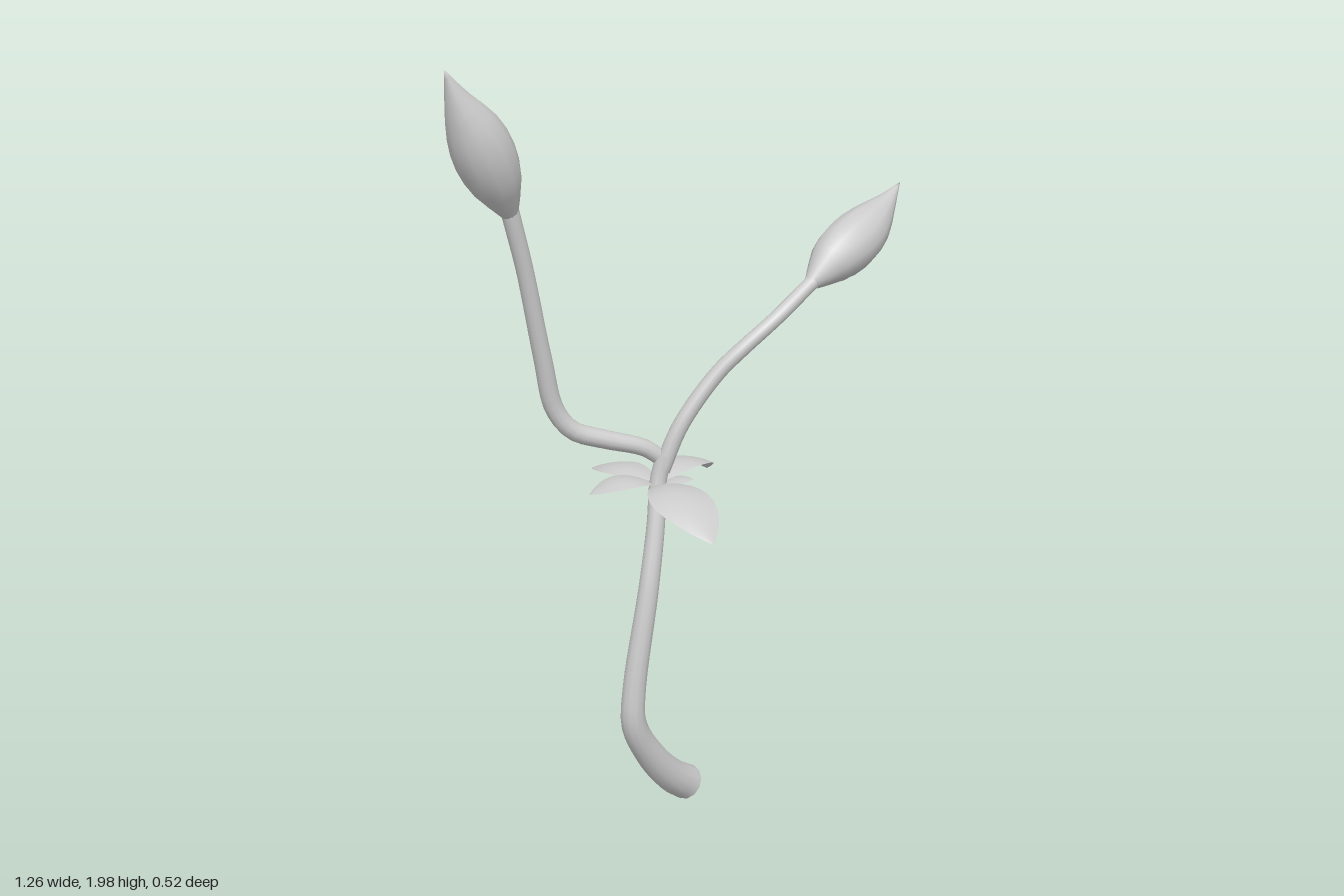
import * as THREE from 'three';
import { mergeVertices } from 'three/addons/utils/BufferGeometryUtils.js';

const material = new THREE.MeshStandardMaterial({ color: 0xcccccc });
const leafMaterial = new THREE.MeshStandardMaterial({ color: 0xcccccc, side: THREE.DoubleSide });

const curveOf = (points) => new THREE.CatmullRomCurve3(points.map((p) => new THREE.Vector3(...p)));

// Tube along a curve whose radius follows evenly spaced values
function sweep(name, curve, radii, segments = 28) {
  const sides = 12;
  const geo = new THREE.TubeGeometry(curve, segments, 1, sides);
  const pos = geo.attributes.position;
  const v = new THREE.Vector3();
  for (let i = 0; i <= segments; i++) {
    const center = curve.getPointAt(i / segments);
    const t = (i / segments) * (radii.length - 1);
    const k = Math.min(Math.floor(t), radii.length - 2);
    const r = THREE.MathUtils.lerp(radii[k], radii[k + 1], t - k);
    for (let j = 0; j <= sides; j++) {
      const n = i * (sides + 1) + j;
      v.fromBufferAttribute(pos, n).sub(center).multiplyScalar(r).add(center);
      pos.setXYZ(n, v.x, v.y, v.z);
    }
  }
  geo.deleteAttribute('uv');
  geo.deleteAttribute('normal');
  const welded = mergeVertices(geo, 1e-5);
  welded.computeVertexNormals();
  const mesh = new THREE.Mesh(welded, material);
  mesh.name = name;
  return mesh;
}

// Arched, pointed leaf from a base point to a tip, edges drooping slightly
function leaf(name, base, tip, halfWidth, arch, bend = 0) {
  const geo = new THREE.PlaneGeometry(1, 1, 4, 10);
  const pos = geo.attributes.position;
  const dx = tip[0] - base[0], dz = tip[2] - base[2];
  const len = Math.hypot(dx, dz);
  const side = [-dz / len, dx / len];
  for (let i = 0; i < pos.count; i++) {
    const s = pos.getY(i) + 0.5;
    const a = pos.getX(i) * 2;
    const w = halfWidth * (0.12 * (1 - s) + Math.pow(Math.sin(Math.PI * Math.pow(s, 1.2)), 0.85));
    const across = a * w + bend * Math.sin(Math.PI * s);
    pos.setXYZ(i,
      base[0] + dx * s + side[0] * across,
      THREE.MathUtils.lerp(base[1], tip[1], s) + arch * 4 * s * (1 - s) - 0.15 * a * a * w,
      base[2] + dz * s + side[1] * across);
  }
  geo.computeVertexNormals();
  const mesh = new THREE.Mesh(geo, leafMaterial);
  mesh.name = name;
  return mesh;
}

export function createModel() {
  const group = new THREE.Group();

  // Main stem, thick and cut off at the foot
  const stemCurve = curveOf([
    [-0.042, 0.055, 0.005], [-0.1, 0.098, 0.005], [-0.175, 0.185, 0.005], [-0.238, 0.3, 0.005],
    [-0.235, 0.4, 0.005], [-0.18, 0.66, 0.005], [-0.135, 0.82, -0.012], [-0.11, 0.92, -0.028],
    [-0.093, 0.99, -0.022],
  ]);
  group.add(sweep('stem', stemCurve, [0.047, 0.042, 0.035, 0.031, 0.029, 0.027, 0.025, 0.023, 0.021], 36));

  const cut = new THREE.Mesh(new THREE.CircleGeometry(0.047, 12), material);
  const start = stemCurve.getPointAt(0);
  cut.position.copy(start);
  cut.lookAt(start.clone().sub(stemCurve.getTangentAt(0)));
  cut.name = 'stemCut';
  group.add(cut);

  // Two side shoots
  group.add(sweep('leftShoot', curveOf([
    [-0.1, 0.95, -0.025], [-0.055, 1.065, 0.0], [0.03, 1.19, 0.045], [0.085, 1.25, 0.08],
    [0.17, 1.32, 0.118], [0.285, 1.395, 0.137],
  ]), [0.022, 0.021, 0.02, 0.019, 0.019]));
  group.add(sweep('rightShoot', curveOf([
    [-0.095, 0.98, -0.035], [-0.13, 1.01, -0.055], [-0.22, 1.043, -0.11], [-0.285, 1.072, -0.15],
    [-0.322, 1.13, -0.174], [-0.355, 1.27, -0.178], [-0.405, 1.5, -0.178], [-0.445, 1.65, -0.18],
  ]), [0.021, 0.024, 0.024, 0.022, 0.021, 0.022], 36));

  // Closed buds at the shoot ends
  const budRadii = [0.02, 0.04, 0.058, 0.068, 0.072, 0.07, 0.062, 0.048, 0.031, 0.015, 0];
  group.add(sweep('leftBud', curveOf([
    [0.28, 1.392, 0.137], [0.37, 1.44, 0.138], [0.47, 1.485, 0.139], [0.56, 1.54, 0.138], [0.632, 1.595, 0.137],
  ]), budRadii, 20));
  group.add(sweep('rightBud', curveOf([
    [-0.443, 1.64, -0.18], [-0.49, 1.74, -0.182], [-0.54, 1.84, -0.182], [-0.59, 1.925, -0.18], [-0.628, 2.0, -0.178],
  ]), budRadii.map((r) => r * 1.03), 20));

  // Ring of leaves around the stem
  const base = [-0.11, 0.91, -0.03];
  group.add(leaf('frontLeaf', base, [-0.215, 0.86, 0.26], 0.075, 0.055, 0.015));
  group.add(leaf('leftLeaf', base, [0.165, 0.862, -0.115], 0.055, 0.055, 0.01));
  group.add(leaf('backLeaf', base, [-0.112, 0.9, -0.265], 0.053, 0.03));
  group.add(leaf('rightLeaf', base, [-0.267, 0.905, -0.115], 0.05, 0.03));
  group.add(leaf('smallLeaf', base, [-0.045, 0.925, 0.035], 0.03, 0.01));

  return group;
}
